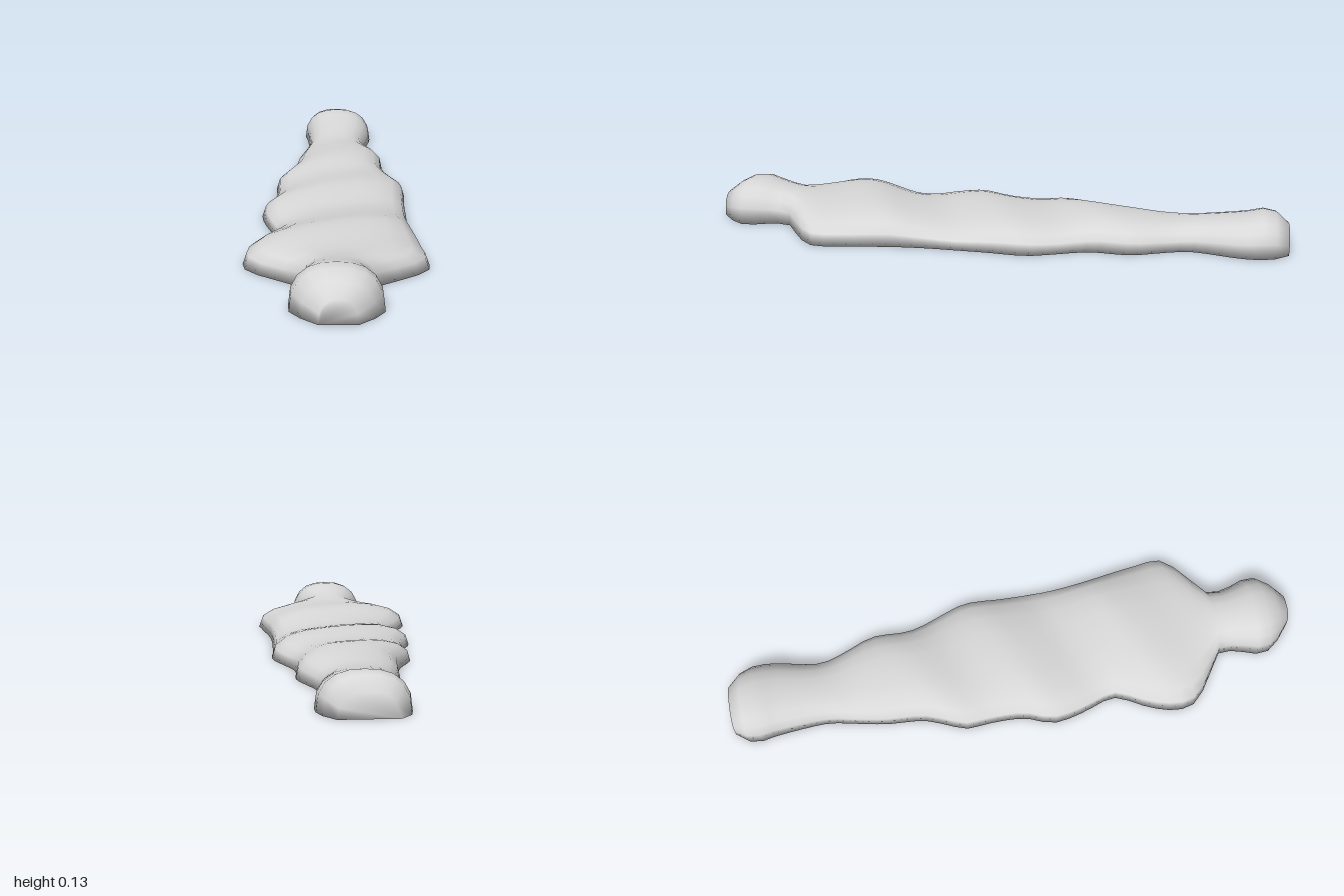
import * as THREE from 'three';

// Stations along the body: z, left edge x, right edge x, height
const stations = [
  [-1, -0.09, 0.085, 0.075], [-0.94, -0.13, 0.13, 0.12], [-0.85, -0.12, 0.14, 0.108],
  [-0.68, -0.11, 0.11, 0.084], [-0.6, -0.125, 0.13, 0.078], [-0.48, -0.15, 0.175, 0.086],
  [-0.34, -0.165, 0.175, 0.093], [-0.2, -0.22, 0.225, 0.077], [-0.13, -0.215, 0.245, 0.078],
  [0, -0.22, 0.24, 0.087], [0.1, -0.255, 0.24, 0.077], [0.2, -0.24, 0.24, 0.066],
  [0.33, -0.205, 0.25, 0.081], [0.42, -0.25, 0.265, 0.097], [0.51, -0.285, 0.278, 0.096],
  [0.6, -0.28, 0.283, 0.09], [0.67, -0.205, 0.215, 0.091], [0.73, -0.113, 0.122, 0.1],
  [0.8, -0.115, 0.115, 0.115], [0.87, -0.138, 0.137, 0.133], [0.93, -0.125, 0.13, 0.125],
  [1, -0.05, 0.06, 0.075],
];

// Smooth interpolation of one station column at z
function sample(z, col) {
  const last = stations.length - 1;
  z = THREE.MathUtils.clamp(z, -1, 1);
  let i = 0;
  while (i < last - 1 && z > stations[i + 1][0]) i++;
  const slope = (k) => {
    const a = stations[Math.max(k - 1, 0)], b = stations[Math.min(k + 1, last)];
    return (b[col] - a[col]) / (b[0] - a[0]);
  };
  const p = stations[i], q = stations[i + 1], d = q[0] - p[0], t = (z - p[0]) / d;
  const t2 = t * t, t3 = t2 * t;
  return (2 * t3 - 3 * t2 + 1) * p[col] + (t3 - 2 * t2 + t) * d * slope(i)
    + (3 * t2 - 2 * t3) * q[col] + (t3 - t2) * d * slope(i + 1);
}

export function createModel() {
  const group = new THREE.Group();
  group.name = 'wrappedFigure';
  const stone = new THREE.MeshStandardMaterial({ color: 0xd8d8d8 });
  stone.name = 'light grey';

  const rows = 45, cols = 10, positions = [], index = [];
  for (let i = 0; i <= rows; i++) {
    const z = -1 + (2 * i) / rows;
    const left = sample(z, 1), right = sample(z, 2);
    // Wrapping folds run diagonally over the body and fade at head and feet
    const fold = 0.38 * THREE.MathUtils.smoothstep(0.72 - Math.abs(z), 0, 0.25);
    for (let j = 0; j <= cols; j++) {
      const u = -Math.cos((Math.PI * j) / cols);
      const x = (left + right) / 2 + (u * (right - left)) / 2;
      const dome = Math.pow(Math.max(0, 1 - Math.pow(Math.abs(u), 2.5)), 0.4);
      positions.push(x, sample(z + fold * x, 3) * dome, z);
    }
  }
  const w = cols + 1;
  for (let i = 0; i < rows; i++) {
    const a = i * w, b = a + cols;
    // Rounded upper surface
    for (let j = a; j < b; j++) index.push(j, j + w, j + 1, j + 1, j + w, j + w + 1);
    // Flat underside
    index.push(a, b, a + w, b, b + w, a + w);
  }
  // Flat foot and head ends
  const top = rows * w;
  for (let j = 1; j < cols; j++) index.push(0, j, j + 1, top, top + j + 1, top + j);

  const geometry = new THREE.BufferGeometry();
  geometry.setAttribute('position', new THREE.Float32BufferAttribute(positions, 3));
  geometry.setIndex(index);
  geometry.computeVertexNormals();

  const body = new THREE.Mesh(geometry, stone);
  body.name = 'wrappedBody';
  group.add(body);
  return group;
}
